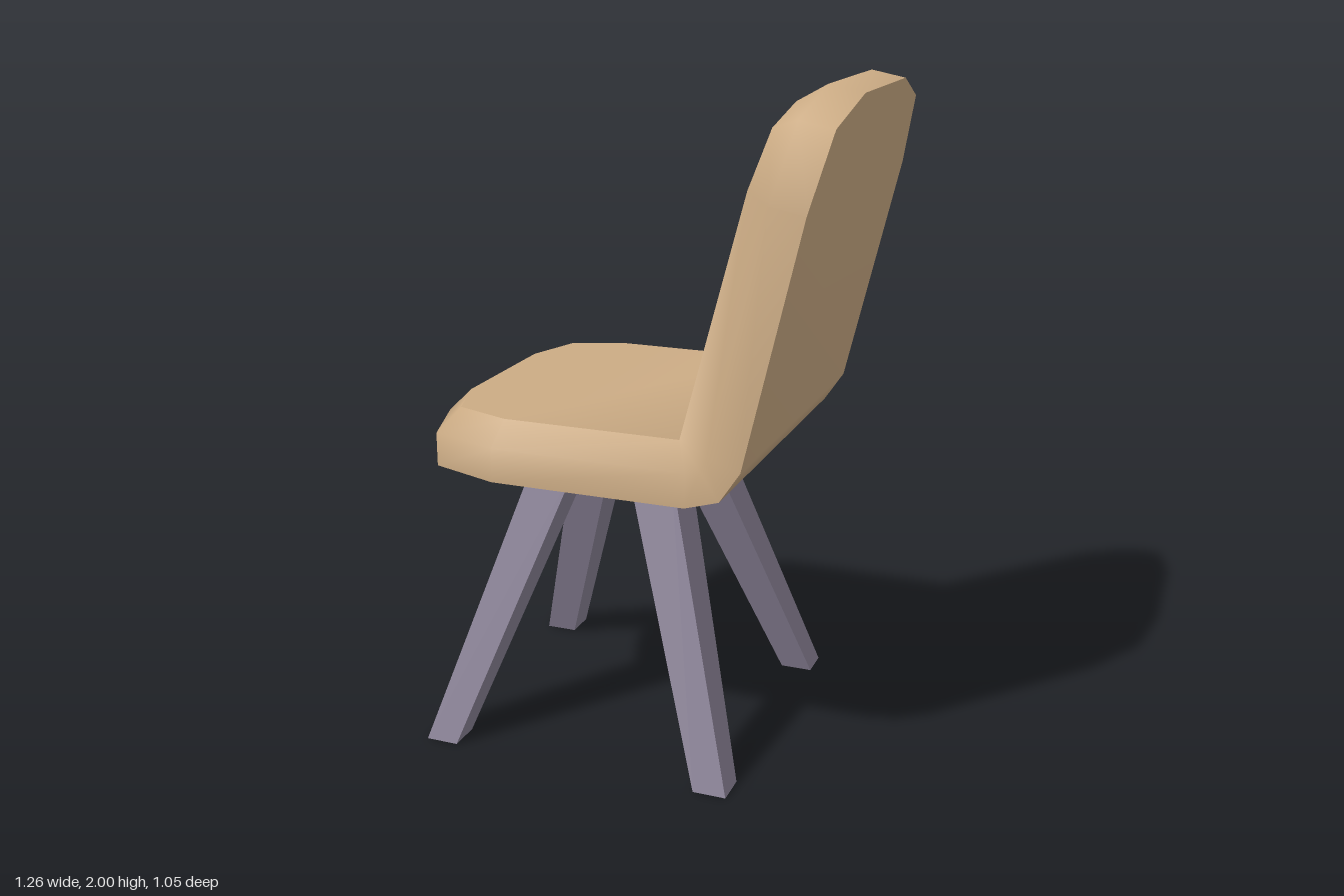
import * as THREE from 'three';
import { mergeVertices } from 'three/addons/utils/BufferGeometryUtils.js';

// Smooth surface through rows of points (quads between neighbouring rows)
function grid(rows) {
  const pos = [];
  const tri = (a, b, c) => pos.push(...a, ...b, ...c);
  const same = (a, b) => a.every((v, k) => v === b[k]);
  for (let j = 0; j < rows.length - 1; j++) {
    for (let i = 0; i < rows[j].length - 1; i++) {
      const a = rows[j][i], b = rows[j][i + 1], c = rows[j + 1][i + 1], d = rows[j + 1][i];
      if (!same(a, b)) tri(a, b, c);
      if (!same(c, d)) tri(a, c, d);
    }
  }
  let geo = new THREE.BufferGeometry();
  geo.setAttribute('position', new THREE.Float32BufferAttribute(pos, 3));
  geo = mergeVertices(geo);
  geo.computeVertexNormals();
  return geo;
}

export function createModel() {
  const model = new THREE.Group();
  model.name = 'chair';
  const shellMat = new THREE.MeshStandardMaterial({ color: 0xcbab84 });
  shellMat.name = 'tan shell';
  const legMat = new THREE.MeshStandardMaterial({ color: 0x8a8296 });
  legMat.name = 'grey violet legs';
  const add = (geo, mat, name, parent) => {
    const mesh = new THREE.Mesh(geo, mat);
    mesh.name = name;
    parent.add(mesh);
  };

  // Shell profiles from the seat's front edge to the top of the back: x, y, half width
  const outer = [
    [-0.635, 0.88, 0.23], [-0.56, 0.88, 0.45], [-0.345, 0.88, 0.525],
    [0.24, 0.88, 0.525], [0.34, 0.91, 0.525], [0.4, 1.0, 0.525],
    [0.565, 1.7, 0.525], [0.614, 1.91, 0.45], [0.63, 1.98, 0.23],
  ];
  const middle = [
    [-0.635, 0.98, 0.23], [-0.56, 0.98, 0.45], [-0.345, 0.98, 0.525],
    [0.24, 0.98, 0.525], [0.285, 0.99, 0.525], [0.305, 1.03, 0.525],
    [0.465, 1.72, 0.525], [0.514, 1.93, 0.45], [0.53, 2.0, 0.23],
  ];
  const inner = [
    [-0.565, 1.05, 0.22], [-0.505, 1.05, 0.395], [-0.335, 1.05, 0.455],
    [0.2, 1.05, 0.455], [0.2, 1.05, 0.455], [0.2, 1.05, 0.455],
    [0.385, 1.744, 0.455], [0.43, 1.9, 0.395], [0.44, 1.95, 0.22],
  ];
  const side = (profile, s) => profile.map(([x, y, w]) => [x, y, s * w]);
  const loop = (p) => [...side(p, 1), ...side(p, -1).reverse(), side(p, 1)[0]];

  const shell = new THREE.Group();
  shell.name = 'shell';
  model.add(shell);
  add(grid([side(outer, -1), side(outer, 1)]), shellMat, 'shellUnderside', shell);
  add(grid([loop(outer), loop(middle), loop(inner)]), shellMat, 'shellRim', shell);
  add(grid([side(inner, 1), side(inner, -1)]), shellMat, 'seatAndBackSurface', shell);

  // Splayed legs, thicker at the top: [bottom min, bottom max, top min, top max]
  const spansX = { front: [-0.61, -0.51, -0.34, -0.2], rear: [0.26, 0.36, -0.05, 0.09] };
  const spansZ = { Right: [0.4, 0.5, 0.09, 0.235], Left: [-0.47, -0.37, -0.2, -0.055] };
  const pick = (span, v, top) => span[(top ? 2 : 0) + (v > 0 ? 1 : 0)];
  for (const [end, sx] of Object.entries(spansX)) {
    for (const [hand, sz] of Object.entries(spansZ)) {
      const geo = new THREE.BoxGeometry(1, 1, 1);
      const p = geo.attributes.position;
      for (let i = 0; i < p.count; i++) {
        const top = p.getY(i) > 0;
        p.setXYZ(i, pick(sx, p.getX(i), top), top ? 0.882 : 0, pick(sz, p.getZ(i), top));
      }
      geo.computeVertexNormals();
      add(geo, legMat, `${end}${hand}Leg`, model);
    }
  }
  return model;
}
